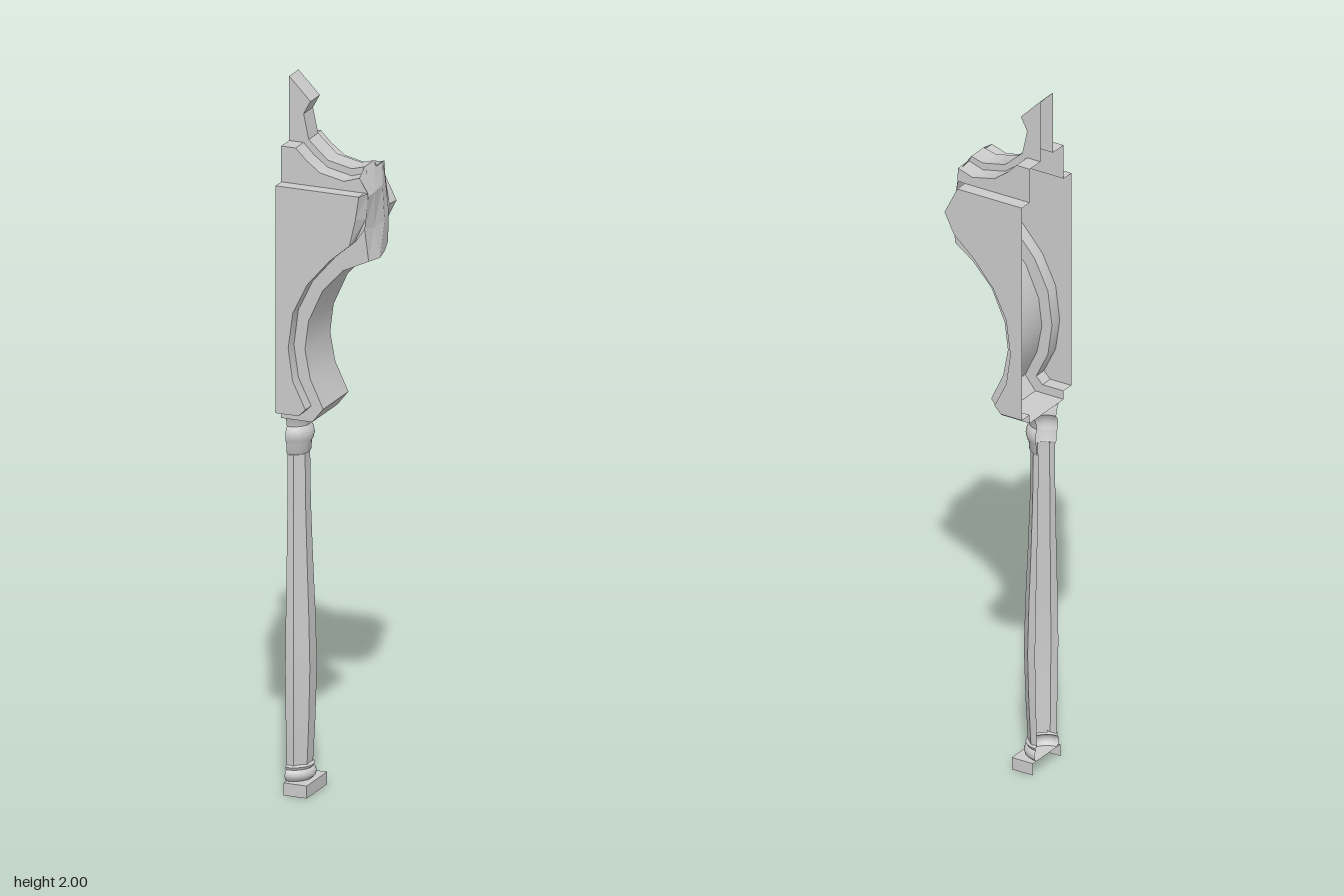
import * as THREE from 'three';
import { toCreasedNormals } from 'three/addons/utils/BufferGeometryUtils.js';

const CUT = -0.132; // plane where the half arch is open
const material = new THREE.MeshStandardMaterial({ color: 0xcccccc, side: THREE.DoubleSide });

// Side profiles [x, y], each running from the cut towards the broken end
const slabCurve = [[CUT, 1.085], [-0.065, 1.085], [-0.045, 1.105], [-0.082, 1.18], [-0.095, 1.27],
  [-0.082, 1.37], [-0.04, 1.455], [0.025, 1.53], [0.083, 1.58]];
const soffitCurve = [[CUT, 1.06], [-0.042, 1.06], [-0.01, 1.1], [-0.048, 1.18], [-0.063, 1.26],
  [-0.053, 1.34], [-0.012, 1.43], [0.048, 1.495]];
const shoulderCurve = [[CUT, 1.82], [-0.09, 1.82], [-0.06, 1.79], [-0.02, 1.76], [0.05, 1.745], [0.095, 1.76]];
const finCurve = [[CUT, 2], [-0.07, 1.937], [-0.09, 1.9], [-0.075, 1.83], [-0.02, 1.78], [0.05, 1.765], [0.087, 1.775]];
const SLAB = 0.121, BODY = 0.083, FIN = 0.031;

// Rough end of the body: one column of [x, y] per z, from top to underside
const breakColumns = [
  { z: -BODY, pts: [[0.09, 1.755], [0.097, 1.71], [0.107, 1.62], [0.105, 1.535], [0.048, 1.495]] },
  { z: -FIN, pts: [[0.087, 1.775], [0.112, 1.71], [0.118, 1.61], [0.118, 1.525], [0.048, 1.495]] },
  { z: FIN, pts: [[0.087, 1.775], [0.118, 1.71], [0.115, 1.61], [0.132, 1.527], [0.048, 1.495]] },
  { z: BODY, pts: [[0.095, 1.76], [0.12, 1.71], [0.11, 1.62], [0.122, 1.53], [0.048, 1.495]] },
];
const slabBreaks = {
  1: [{ z: BODY, pts: [[0.12, 1.72], [0.115, 1.65], [0.083, 1.58]] },
    { z: SLAB, pts: [[0.11, 1.72], [0.1, 1.655], [0.083, 1.58]] }],
  '-1': [{ z: -SLAB, pts: [[0.073, 1.72], [0.113, 1.64], [0.083, 1.58]] },
    { z: -BODY, pts: [[0.097, 1.72], [0.108, 1.64], [0.083, 1.58]] }],
};

// Surface through neighbouring columns of points
function loft(columns, crease) {
  const pos = [], index = [], n = columns[0].pts.length;
  for (const c of columns) for (const [x, y] of c.pts) pos.push(x, y, c.z);
  for (let i = 0; i < columns.length - 1; i++) {
    for (let j = 0; j < n - 1; j++) {
      const a = i * n + j, b = a + 1, c = b + n, d = a + n;
      index.push(a, b, c, a, c, d);
    }
  }
  const g = new THREE.BufferGeometry();
  g.setAttribute('position', new THREE.Float32BufferAttribute(pos, 3));
  g.setIndex(index);
  return toCreasedNormals(g, crease);
}

const wall = (pts, z0, z1) => loft([{ z: z0, pts }, { z: z1, pts }], 0.6);

// Flat polygon facing +z or -z
function plate(pts, z) {
  const g = new THREE.ShapeGeometry(new THREE.Shape(pts.map(p => new THREE.Vector2(...p))));
  g.translate(0, 0, z);
  if (z < 0) {
    g.index.array.reverse();
    g.computeVertexNormals();
  }
  return g;
}

export function createModel() {
  const model = new THREE.Group();
  const add = (name, geometry, parent = model) => {
    const mesh = new THREE.Mesh(geometry, material);
    mesh.name = name;
    parent.add(mesh);
    return mesh;
  };
  const rev = a => [...a].reverse();

  // Half arch: stepped plates joined by walls
  const arch = new THREE.Group();
  arch.name = 'halfArch';
  model.add(arch);
  add('archSoffit', wall(soffitCurve, -BODY, BODY), arch);
  add('finEdge', wall(rev(finCurve), -FIN, FIN), arch);
  add('brokenEnd', loft(breakColumns, 0.1), arch);

  for (const s of [1, -1]) {
    const band = (pts, a, b) => wall(pts, Math.min(s * a, s * b), Math.max(s * a, s * b));
    const end = breakColumns[s > 0 ? 3 : 0].pts;
    const slabEnd = slabBreaks[s][s > 0 ? 1 : 0].pts;
    const slabTop = [slabEnd[0], [CUT, 1.72]];

    add('slabFace', plate([...slabCurve, slabEnd[1], ...slabTop], s * SLAB), arch);
    add('slabArchEdge', band(slabCurve, BODY, SLAB), arch);
    add('slabTop', band(slabTop, BODY, SLAB), arch);
    add('slabBrokenEnd', loft(slabBreaks[s], 0.1), arch);

    add('archMoulding', plate([...soffitCurve, end[3], end[2], ...rev(slabCurve)], s * BODY), arch);
    add('shoulderFace', plate([[CUT, 1.72], [end[1][0], 1.72], ...rev(shoulderCurve)], s * BODY), arch);
    add('shoulderTop', band(rev(shoulderCurve), FIN, BODY), arch);
    add('finFace', plate([...shoulderCurve, ...rev(finCurve)], s * FIN), arch);
  }

  // Half column, open on the cut side
  const column = new THREE.Group();
  column.name = 'halfColumn';
  column.position.x = CUT;
  model.add(column);

  const plinth = new THREE.BoxGeometry(0.067, 0.035, 0.134);
  const faces = Array.from(plinth.index.array);
  plinth.setIndex([0, 2, 4, 5].flatMap(f => faces.slice(f * 6, f * 6 + 6))); // no cut side, no underside
  plinth.clearGroups();
  plinth.translate(0.0335, 0.0175, 0);
  add('plinth', plinth, column);

  const profile = pts => pts.map(p => new THREE.Vector2(...p));
  const turned = pts => toCreasedNormals(new THREE.LatheGeometry(profile(pts), 16, 0, Math.PI), 0.7);
  add('baseRing', turned([[0.05, 0.035], [0.058, 0.042], [0.061, 0.053], [0.057, 0.063], [0.052, 0.067],
    [0.056, 0.075], [0.048, 0.08]]), column);
  add('capital', turned([[0.042, 0.945], [0.047, 0.952], [0.048, 0.975], [0.053, 0.985], [0.056, 1.0],
    [0.053, 1.015], [0.046, 1.025], [0.049, 1.04], [0.058, 1.06]]), column);

  // Octagonal shaft with a gentle swelling; outer corners are pulled onto the cut plane
  const k = 1 / Math.cos(Math.PI / 8);
  const shaft = new THREE.LatheGeometry(profile([[0.047, 0.075], [0.053, 0.2], [0.057, 0.35], [0.053, 0.5],
    [0.047, 0.65], [0.042, 0.8], [0.04, 0.95]].map(([r, y]) => [r * k, y])), 5, -Math.PI / 8, Math.PI * 1.25);
  const p = shaft.attributes.position;
  for (let i = 0; i < p.count; i++) p.setX(i, Math.max(0, p.getX(i)));
  add('shaft', toCreasedNormals(shaft, 0.4), column);

  return model;
}
